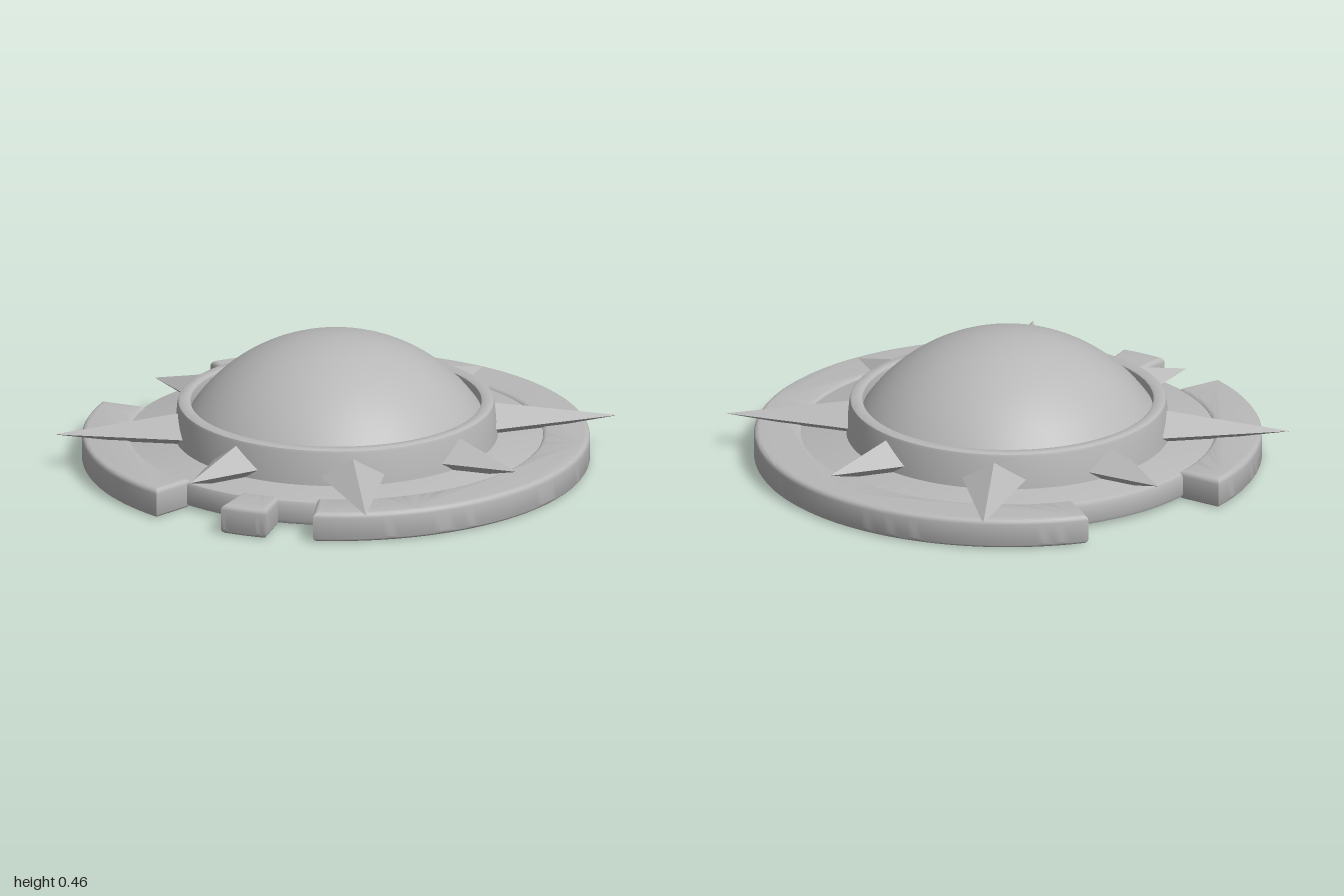
import * as THREE from 'three';
import { toCreasedNormals } from 'three/addons/utils/BufferGeometryUtils.js';

const grey = new THREE.MeshStandardMaterial({ color: 0xb8b8b8 });
grey.name = 'plain grey';

function addPart(group, name, geometry, crease = 0.6) {
  const mesh = new THREE.Mesh(toCreasedNormals(geometry, crease), grey);
  mesh.name = name;
  group.add(mesh);
  return mesh;
}

function lathe(points, segments = 96) {
  return new THREE.LatheGeometry(points.map(([r, y]) => new THREE.Vector2(r, y)), segments);
}

// Bevelled ring section between two angles (degrees from +x towards +z)
function ringSection(startDeg, endDeg) {
  const a = THREE.MathUtils.degToRad(startDeg);
  const b = THREE.MathUtils.degToRad(endDeg);
  const height = 0.107, bevel = 0.018;
  const shape = new THREE.Shape();
  shape.absarc(0, 0, 0.897, a, b, false);
  shape.absarc(0, 0, 0.728, b, a, true);
  shape.closePath();
  const geometry = new THREE.ExtrudeGeometry(shape, {
    depth: height - 2 * bevel,
    bevelThickness: bevel,
    bevelSize: bevel,
    bevelOffset: -bevel,
    bevelSegments: 4,
    curveSegments: Math.max(6, Math.ceil((endDeg - startDeg) / 4)),
  });
  geometry.rotateX(Math.PI / 2);
  geometry.translate(0, height - bevel, 0);
  return geometry;
}

// Four-sided flattened spike pointing along +z
function spike(tip, halfWidth, halfHeight) {
  const base = 0.54;
  const geometry = new THREE.ConeGeometry(1, tip - base, 4);
  geometry.rotateX(Math.PI / 2);
  geometry.scale(halfWidth, halfHeight, 1);
  geometry.translate(0, 0.133, (tip + base) / 2);
  return geometry;
}

export function createModel() {
  const model = new THREE.Group();
  model.name = 'spikedDome';

  // Base disc with softened edges
  addPart(model, 'baseDisc', lathe([
    [0, 0.008], [0.73, 0.008], [0.741, 0.013], [0.746, 0.024],
    [0.746, 0.082], [0.741, 0.094], [0.73, 0.099], [0, 0.099],
  ]));

  // Broken outer ring
  const ring = new THREE.Group();
  ring.name = 'brokenRing';
  model.add(ring);
  addPart(ring, 'longRingSection', ringSection(-113.5, 101.3));
  addPart(ring, 'sideRingSection', ringSection(141, 209));
  addPart(ring, 'smallRingFragment', ringSection(112, 123));

  // Collar holding the dome
  addPart(model, 'collar', lathe([
    [0.572, 0.09], [0.56, 0.215], [0.557, 0.224], [0.549, 0.229],
    [0.522, 0.229], [0.514, 0.224], [0.512, 0.216], [0.512, 0.16],
  ]));

  // Shallow spherical dome
  const radius = 0.618, top = 0.463, steps = 20;
  const sweep = Math.asin(0.52 / radius);
  const domeProfile = [];
  for (let i = steps; i >= 0; i--) {
    const t = (sweep * i) / steps;
    domeProfile.push([radius * Math.sin(t), top - radius + radius * Math.cos(t)]);
  }
  addPart(model, 'dome', lathe(domeProfile));

  // Long and short spikes alternating around the collar
  const spikes = new THREE.Group();
  spikes.name = 'spikes';
  model.add(spikes);
  for (let i = 0; i < 8; i++) {
    const long = i % 2 === 0;
    const geometry = long ? spike(1, 0.117, 0.066) : spike(0.822, 0.105, 0.076);
    const mesh = addPart(spikes, long ? 'longSpike' : 'shortSpike', geometry, 0.2);
    mesh.rotation.y = (i * Math.PI) / 4;
  }

  return model;
}
